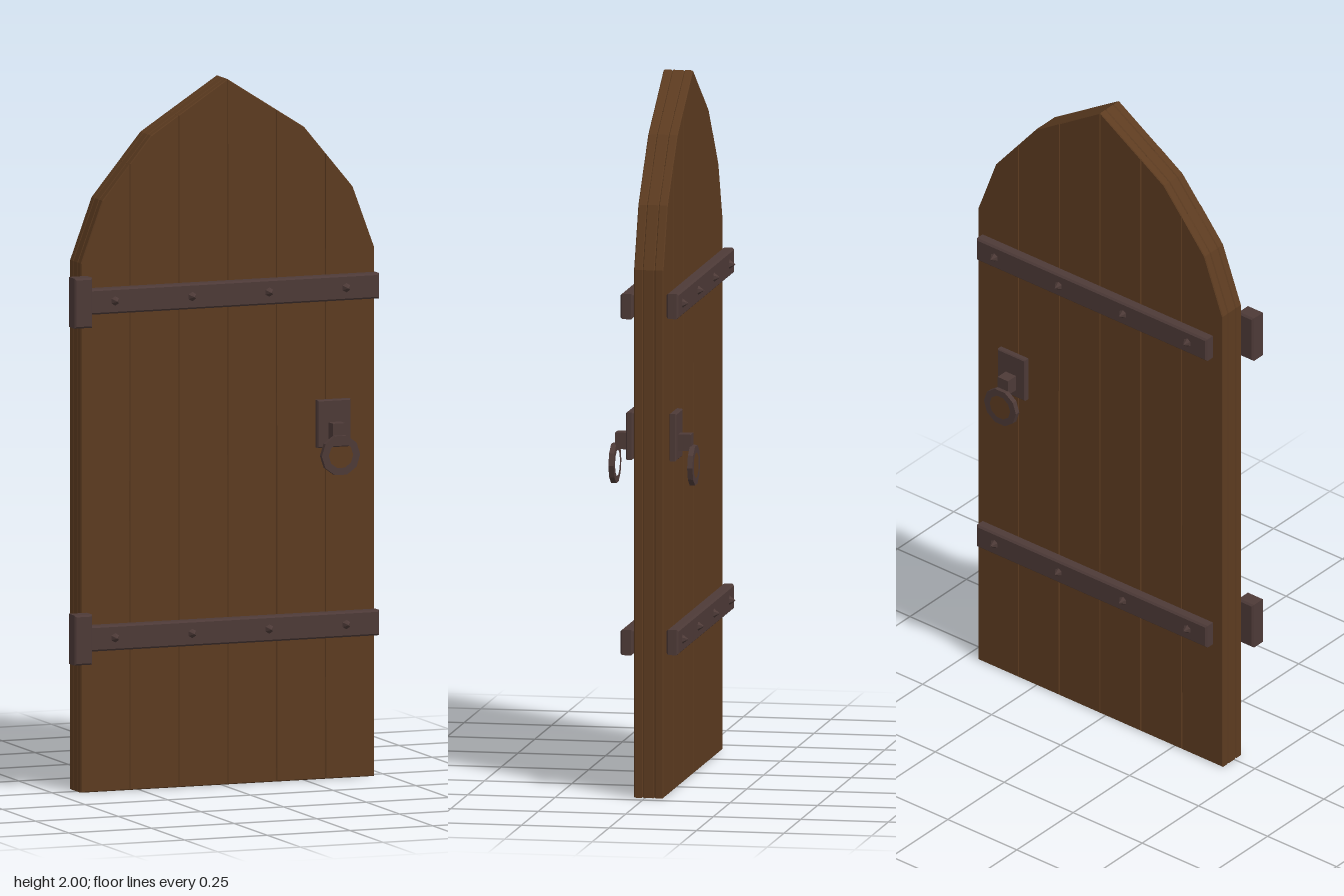
import * as THREE from 'three';

const wood = new THREE.MeshStandardMaterial({ color: 0x5c3b20 });
wood.name = 'brown wood';
const iron = new THREE.MeshStandardMaterial({ color: 0x4d3a37 });
iron.name = 'dark iron';

// Flat slab from an outline, chamfered, filling z0..z1
function slab(name, shape, z0, z1, bevel, material) {
  const geo = new THREE.ExtrudeGeometry(shape, {
    depth: z1 - z0 - 2 * bevel, bevelEnabled: bevel > 0,
    bevelSize: bevel, bevelThickness: bevel, bevelOffset: -bevel, bevelSegments: 1,
  });
  geo.translate(0, 0, z0 + bevel);
  const mesh = new THREE.Mesh(geo, material);
  mesh.name = name;
  return mesh;
}

const polygon = (points) => new THREE.Shape(points.map(([x, y]) => new THREE.Vector2(x, y)));

function bar(name, x0, x1, y0, y1, z0, z1, bevel = 0.005) {
  return slab(name, polygon([[x0, y0], [x1, y0], [x1, y1], [x0, y1]]), z0, z1, bevel, iron);
}

// Pointed arch, left to right
const arch = [[-0.425, 1.5], [-0.36, 1.675], [-0.213, 1.852], [0.018, 2],
  [0.25, 1.852], [0.397, 1.675], [0.462, 1.5]];

function archHeight(x) {
  for (let i = 1; i < arch.length; i++) {
    const [xa, ya] = arch[i - 1], [xb, yb] = arch[i];
    if (x <= xb) return ya + (yb - ya) * (x - xa) / (xb - xa);
  }
  return arch[arch.length - 1][1];
}

function createPlanks() {
  const planks = new THREE.Group();
  planks.name = 'planks';
  const count = 6, left = -0.425, width = 0.887 / count;
  const layers = [[-0.052, -0.027], [-0.027, 0.007], [0.007, 0.032]];
  for (let i = 0; i < count; i++) {
    const x0 = left + i * width, x1 = i === count - 1 ? 0.462 : x0 + width;
    // Corners of the arch that lie inside this plank
    const corners = arch.filter(([x]) => x > x0 + 0.005 && x < x1 - 0.005).reverse();
    const outline = polygon([[x0, 0], [x1, 0], [x1, archHeight(x1)], ...corners, [x0, archHeight(x0)]]);
    for (const [z0, z1] of layers) planks.add(slab('plank', outline, z0, z1, 0.0025, wood));
  }
  return planks;
}

// Small pointed studs along a strap
function addRivets(group, firstX, y, z, side) {
  for (let i = 0; i < 4; i++) {
    const geo = new THREE.ConeGeometry(0.014, 0.018, 6).toNonIndexed();
    geo.computeVertexNormals();
    const rivet = new THREE.Mesh(geo, iron);
    rivet.name = 'rivet';
    rivet.rotation.x = side * Math.PI / 2;
    rivet.position.set(firstX + i * 0.233, y, z + side * 0.008);
    group.add(rivet);
  }
}

function createStraps(y) {
  const group = new THREE.Group();
  group.name = 'hingeAndStraps';
  group.add(bar('frontStrap', -0.412, 0.462, y - 0.036, y + 0.036, 0.035, 0.071));
  group.add(bar('hinge', -0.464, -0.41, y - 0.071, y + 0.071, 0.035, 0.084));
  group.add(bar('backStrap', -0.398, 0.437, y - 0.036, y + 0.036, -0.09, -0.056));
  addRivets(group, -0.337, y, 0.071, 1);
  addRivets(group, -0.328, y, -0.09, -1);
  return group;
}

// Plate, post and hanging ring on one side of the door
function createHandle(side) {
  const group = new THREE.Group();
  group.name = side > 0 ? 'frontHandle' : 'backHandle';
  const span = (a, b) => (side > 0 ? [a, b] : [-b, -a]);
  group.add(bar('handlePlate', 0.275, 0.375, 0.945, 1.08, ...span(0.052, 0.072), 0.003));
  group.add(bar('handlePost', 0.307, 0.344, 0.97, 1.017, ...span(0.07, 0.108), 0));

  const circle = (r) => Array.from({ length: 10 }, (_, i) => {
    const a = (i + 0.5) / 10 * Math.PI * 2;
    return [0.326 + r * Math.sin(a), 0.928 + r * Math.cos(a)];
  });
  const ring = polygon(circle(0.058));
  ring.holes.push(polygon(circle(0.037)));
  group.add(slab('handleRing', ring, ...span(0.105, 0.12), 0, iron));
  return group;
}

export function createModel() {
  const door = new THREE.Group();
  door.name = 'archedDoor';
  door.add(createPlanks());
  for (const y of [0.44, 1.395]) door.add(createStraps(y));
  for (const side of [1, -1]) door.add(createHandle(side));
  return door;
}
